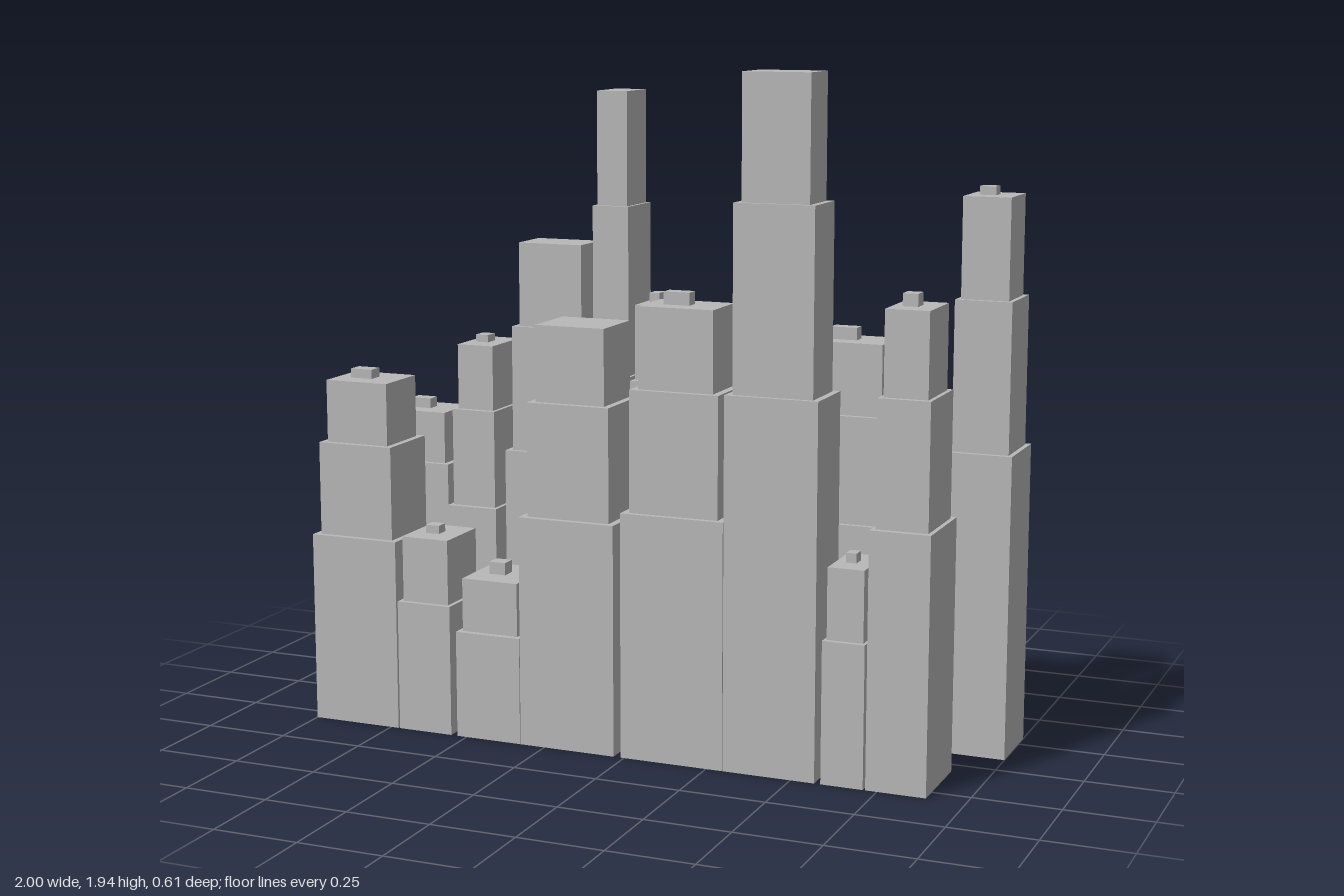
import * as THREE from 'three';

const concrete = new THREE.MeshStandardMaterial({ color: 0xb8b8b8, side: THREE.DoubleSide });
concrete.name = 'concrete grey';

const BLOCK_EDGE = 0.305; // outer z of both rows

// Step heights as fractions of the roof height, and footprint scale of each step
const STEPS = { 2: [0.667, 1], 3: [0.55, 0.82, 1] };
const SHRINK = [1, 0.86, 0.72];

// [left x, right x, inner z, roof height, steps, rooftop unit height (0 = none)]
const FRONT_ROW = [
  [-1.0, -0.725, 0.06, 1.02, 3, 0.027],
  [-0.72, -0.55, 0.095, 0.577, 2, 0.024],
  [-0.53, -0.327, 0.065, 0.47, 2, 0.036],
  [-0.325, -0.032, 0.05, 1.22, 3, 0],
  [-0.01, 0.298, 0.08, 1.29, 3, 0.036],
  [0.3, 0.57, 0.12, 1.935, 3, 0],
  [0.588, 0.71, 0.097, 0.61, 2, 0.027],
  [0.717, 0.889, 0.06, 1.32, 3, 0.035],
];
const BACK_ROW = [
  [-1.0, -0.743, -0.083, 0.87, 3, 0.03],
  [-0.737, -0.575, -0.05, 1.09, 3, 0.022],
  [-0.573, -0.29, -0.115, 1.4, 3, 0],
  [-0.292, -0.16, -0.11, 1.855, 3, 0],
  [-0.158, -0.032, -0.073, 1.237, 3, 0.03],
  [-0.02, 0.13, -0.063, 1.02, 3, 0.03],
  [0.148, 0.325, -0.05, 0.69, 2, 0.03],
  [0.345, 0.655, -0.095, 1.16, 3, 0.036],
  [0.66, 0.788, -0.1, 1.02, 3, 0.03],
  [0.81, 1.0, -0.093, 1.588, 3, 0.024],
];

// Open-bottomed block standing on y
function block(name, w, h, d, x, y, z) {
  const geometry = new THREE.BoxGeometry(w, h, d);
  const index = Array.from(geometry.index.array);
  index.splice(18, 6); // drop the underside
  geometry.setIndex(index);
  geometry.clearGroups();
  const mesh = new THREE.Mesh(geometry, concrete);
  mesh.name = name;
  mesh.position.set(x, y + h / 2, z);
  return mesh;
}

// Stepped tower with an optional small unit on the roof
function tower(name, [x0, x1, inner, height, steps, unit], outer) {
  const group = new THREE.Group();
  group.name = name;
  const w = x1 - x0, d = Math.abs(outer - inner);
  const x = (x0 + x1) / 2, z = (inner + outer) / 2;
  let y = 0;
  STEPS[steps].forEach((fraction, i) => {
    const top = height * fraction;
    group.add(block(i ? 'setback' + i : 'base', w * SHRINK[i], top - y, d * SHRINK[i], x, y, z));
    y = top;
  });
  if (unit) group.add(block('rooftopUnit', w * 0.25, unit, d * 0.19, x - w * 0.07, height, z));
  return group;
}

export function createModel() {
  const skyline = new THREE.Group();
  skyline.name = 'skyline';
  FRONT_ROW.forEach((t, i) => skyline.add(tower('frontTower' + (i + 1), t, BLOCK_EDGE)));
  BACK_ROW.forEach((t, i) => skyline.add(tower('backTower' + (i + 1), t, -BLOCK_EDGE)));
  return skyline;
}
